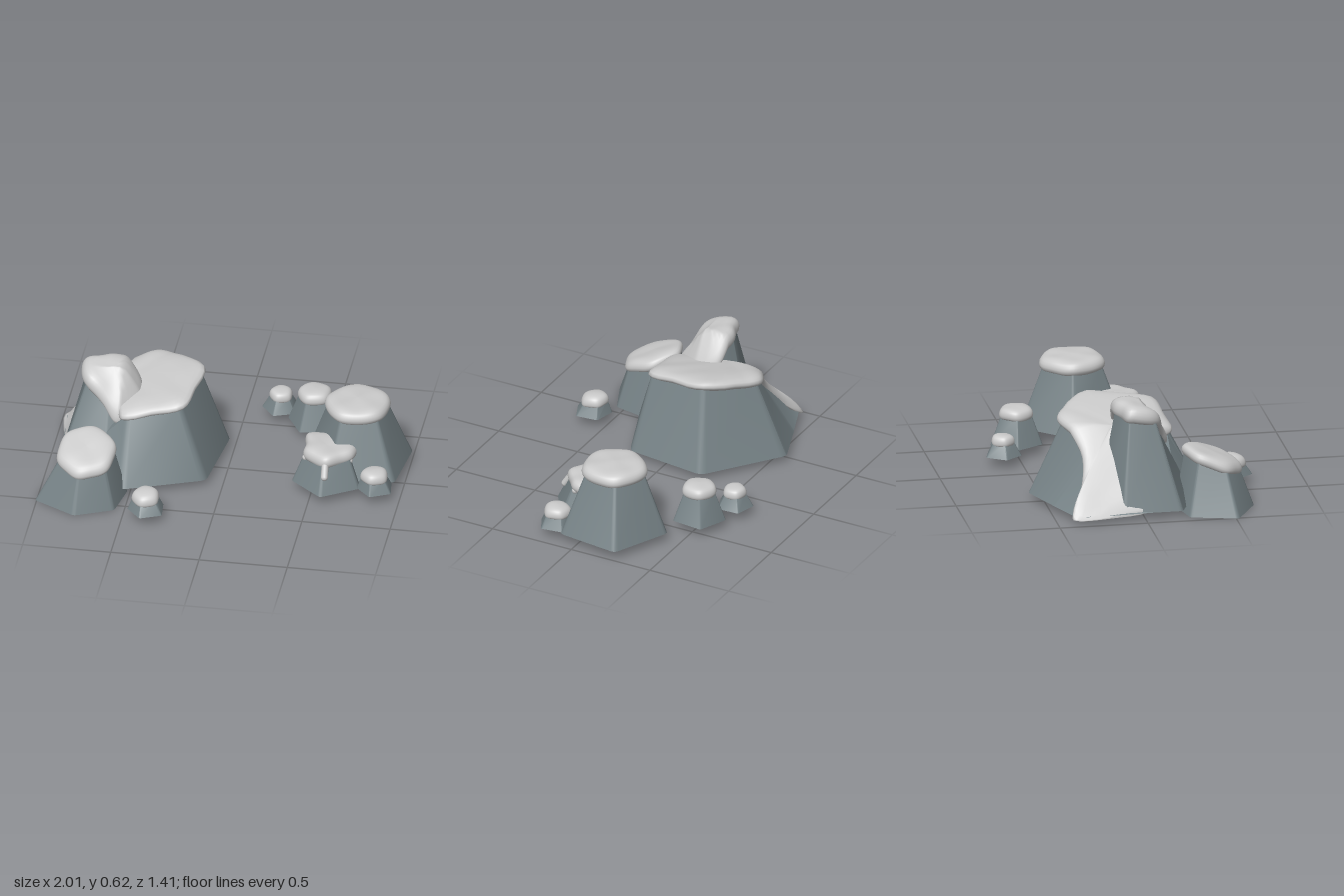
import * as THREE from 'three';
import { toCreasedNormals } from 'three/addons/utils/BufferGeometryUtils.js';

const snowMat = new THREE.MeshStandardMaterial({ color: 0xcccccc });
const rockMat = new THREE.MeshStandardMaterial({ color: 0x768286, side: THREE.DoubleSide });
const V = (x, y, z) => new THREE.Vector3(x, y, z);

// Skin a list of equal-length closed rings, from the top centre outwards and down
function loft(rings) {
  const n = rings[0].length, pos = [], idx = [];
  rings.forEach(r => r.forEach(p => pos.push(p.x, p.y, p.z)));
  for (let i = 0; i < rings.length - 1; i++) {
    for (let j = 0; j < n; j++) {
      const k = (j + 1) % n, a = i * n + j, d = i * n + k;
      idx.push(a, d, d + n, a, d + n, a + n);
    }
  }
  const g = new THREE.BufferGeometry();
  g.setAttribute('position', new THREE.Float32BufferAttribute(pos, 3));
  g.setIndex(idx);
  g.computeVertexNormals();
  return g;
}

function named(name, geometry, material) {
  const m = new THREE.Mesh(geometry, material);
  m.name = name;
  return m;
}

// Replace each corner by a short arc
function roundCorners(pts, f = 0.07) {
  const n = pts.length, out = [];
  pts.forEach((p, i) => {
    const a = p.clone().lerp(pts[(i + n - 1) % n], f);
    const b = p.clone().lerp(pts[(i + 1) % n], f);
    out.push(...new THREE.QuadraticBezierCurve3(a, p, b).getPoints(3));
  });
  return out;
}

// Tapered stone, open underneath
function stone(name, base, top) {
  const rim = roundCorners(top), foot = roundCorners(base);
  const c = rim.reduce((s, p) => s.add(p), V(0, 0, 0)).divideScalar(rim.length);
  return named(name, toCreasedNormals(loft([rim.map(() => c), rim, foot]), 0.6), rockMat);
}

// Soft slab of snow: an outline in x,z, draped over a height rule
function snow(name, outline, height, thick) {
  const edge = new THREE.CatmullRomCurve3(outline.map(([x, z]) => V(x, 0, z)), true, 'centripetal').getPoints(64).slice(0, -1);
  const c = outline.reduce((s, [x, z]) => s.add(V(x, 0, z)), V(0, 0, 0)).divideScalar(outline.length);
  // pairs of: share of the outline, share of the thickness
  const profile = [[0, 0], [0.2, 0], [0.4, 0], [0.6, 0.01], [0.75, 0.05], [0.86, 0.13], [0.93, 0.24],
    [0.98, 0.4], [1, 0.6], [0.98, 0.78], [0.93, 0.92], [0.85, 1], [0.6, 1], [0.3, 1], [0, 1]];
  const rings = profile.map(([s, k]) => edge.map(p => {
    const q = c.clone().lerp(p, s);
    const lump = 0.003 * Math.sin(q.x * 31 + 1) * Math.cos(q.z * 27);
    q.y = Math.max(0.02 + 0.02 * (1 - k), height(q.x, q.z) + lump - k * thick);
    return q;
  }));
  return named(name, loft(rings), snowMat);
}

const polygon = (n, cx, cz, r, deg, y) => Array.from({ length: n }, (_, i) => {
  const a = THREE.MathUtils.degToRad(deg) + i * 2 * Math.PI / n;
  const x = cx + r * Math.cos(a), z = cz + r * Math.sin(a);
  return V(x, typeof y === 'function' ? y(x, z) : y, z);
});

// Stone with a round cap of snow; dome is the fall from centre to edge
function cappedStone(name, o) {
  const { n = 5, x, z, r, deg, top, tx = x, tz = z, cap, thick, slope = 0, dome = 0 } = o;
  const { foot = polygon(n, x, z, r, deg, 0.055) } = o;
  const h = (px, pz) => top + slope * (pz - tz) - dome * ((px - tx) ** 2 + (pz - tz) ** 2) / cap ** 2;
  const g = new THREE.Group();
  g.name = name;
  g.add(stone(name + 'Rock', foot, polygon(n, tx, tz, cap * 0.96, deg, (a, b) => h(a, b) - thick * 0.6)));
  const ring = polygon(n * 2, tx, tz, cap, deg, 0).map((p, i) => {
    const s = i % 2 ? 0.98 : 1.04;
    return [tx + (p.x - tx) * s, tz + (p.z - tz) * s];
  });
  g.add(snow(name + 'Snow', ring, h, thick));
  return g;
}

export function createModel() {
  const model = new THREE.Group();
  model.name = 'snowyRocks';

  // Large boulder: a tilted plateau that falls steeply to the ground at -x
  const plateau = (x, z) => Math.min(0.545 + 0.22 * (x + 0.17) - 0.07 * z, 0.465 + 1.11 * (x + 0.6));
  const foot = [[-0.03, -0.265], [-0.09, 0.215], [-0.54, 0.39], [-0.93, 0.19], [-0.97, -0.39], [-0.71, -0.49], [-0.45, -0.585]];
  const rim = [[-0.18, -0.2], [-0.24, 0.165], [-0.54, 0.195], [-0.88, 0.09], [-0.93, -0.36], [-0.7, -0.295], [-0.46, -0.39]];
  model.add(stone('largeBoulder', foot.map(([x, z]) => V(x, 0.04, z)),
    rim.map(([x, z]) => V(x, Math.max(0.05, plateau(x, z) - 0.05), z))));
  model.add(snow('largeBoulderSnow', [[-0.165, -0.21], [-0.185, 0.0], [-0.225, 0.17], [-0.4, 0.2], [-0.565, 0.215],
    [-0.61, 0.14], [-0.72, 0.09], [-0.91, 0.06], [-0.955, -0.15], [-0.985, -0.38], [-0.945, -0.42], [-0.84, -0.355],
    [-0.7, -0.32], [-0.58, -0.37], [-0.46, -0.42], [-0.35, -0.37]], plateau, 0.08));

  // Pillar leaning on the boulder, with snow spilling off it
  const pillarFoot = [[-0.42, -0.12], [-0.42, 0.2], [-0.66, 0.32], [-0.94, 0.21], [-0.94, -0.13], [-0.68, -0.23]];
  const pillarRim = [[-0.54, -0.07], [-0.55, 0.07], [-0.66, 0.11], [-0.79, 0.08], [-0.80, -0.07], [-0.67, -0.13]];
  const spill = (x, z) => 0.625 - 0.22 * Math.max(0, z + 0.05) - 1.4 * Math.max(0, x + 0.59)
    - Math.max(0, z - 0.02) * THREE.MathUtils.smoothstep(x, -0.8, -0.62);
  model.add(stone('pillar', pillarFoot.map(([x, z]) => V(x, 0.04, z)),
    pillarRim.map(([x, z]) => V(x, spill(x, z) - 0.06, z))));
  model.add(snow('pillarSnow', [[-0.475, -0.03], [-0.48, 0.06], [-0.53, 0.14], [-0.6, 0.18], [-0.68, 0.14],
    [-0.78, 0.1], [-0.825, 0.03], [-0.825, -0.08], [-0.74, -0.11], [-0.66, -0.14], [-0.52, -0.12]], spill, 0.1));

  // Separate stones
  const frontFoot = [[-0.515, 0.33], [-0.555, 0.55], [-0.77, 0.645], [-1.01, 0.515], [-0.94, 0.25], [-0.7, 0.2]].map(([x, z]) => V(x, 0, z));
  model.add(
    cappedStone('frontStone', { n: 6, foot: frontFoot, deg: -22, top: 0.32, tx: -0.735, tz: 0.41, cap: 0.163, thick: 0.08, slope: -0.36 }),
    cappedStone('frontPebble', { x: -0.363, z: 0.598, r: 0.11, deg: 175, top: 0.177, tx: -0.37, tz: 0.59, cap: 0.076, thick: 0.055, slope: -0.1, dome: 0.02 }),
    cappedStone('backPebble', { x: 0.2, z: -0.607, r: 0.108, deg: 178, top: 0.178, cap: 0.064, thick: 0.055, dome: 0.01 }),
    cappedStone('backStone', { x: 0.41, z: -0.495, r: 0.157, deg: 186, top: 0.27, cap: 0.094, thick: 0.065, dome: 0.005 }),
    cappedStone('sideStone', { x: 0.725, z: -0.122, r: 0.317, deg: 187, top: 0.46, tx: 0.715, cap: 0.182, thick: 0.085 }),
    cappedStone('sidePebble', { x: 0.862, z: 0.165, r: 0.108, deg: 172, top: 0.177, tx: 0.855, cap: 0.076, thick: 0.055, dome: 0.015 }));

  // Stone with melting snow: ragged cap, drips and beads
  const drippy = new THREE.Group();
  drippy.name = 'meltingStone';
  drippy.add(stone('meltingRock', polygon(5, 0.585, 0.11, 0.207, 166, 0.055), polygon(5, 0.585, 0.095, 0.135, 166, 0.23)));
  drippy.add(snow('meltingSnow', [[0.73, 0.02], [0.73, 0.13], [0.67, 0.185], [0.59, 0.24], [0.51, 0.2], [0.45, 0.145],
    [0.45, 0.06], [0.44, -0.05], [0.58, -0.06]], () => 0.27, 0.08));
  [[0.585, 0.21, 0.588, 0.262, 0.155, 0.02], [0.485, 0.13, 0.46, 0.138, 0.2, 0.018], [0.69, 0.12, 0.71, 0.132, 0.2, 0.018]]
    .forEach(([x, z, x2, z2, y, r]) => {
      const a = V(x, 0.235, z), b = V(x2, y, z2);
      const drip = named('drip', new THREE.CapsuleGeometry(r, a.distanceTo(b), 6, 12), snowMat);
      drip.position.copy(a).lerp(b, 0.5);
      drip.quaternion.setFromUnitVectors(V(0, 1, 0), b.sub(a).normalize());
      drippy.add(drip);
    });
  model.add(drippy);
  [[0.425, 0.09, 0.15], [0.74, 0.1, 0.15], [-0.375, 0.078, 0.665]].forEach(([x, y, z]) => {
    const bead = named('snowBead', new THREE.SphereGeometry(0.01, 12, 8), snowMat);
    bead.position.set(x, y, z);
    model.add(bead);
  });
  return model;
}
